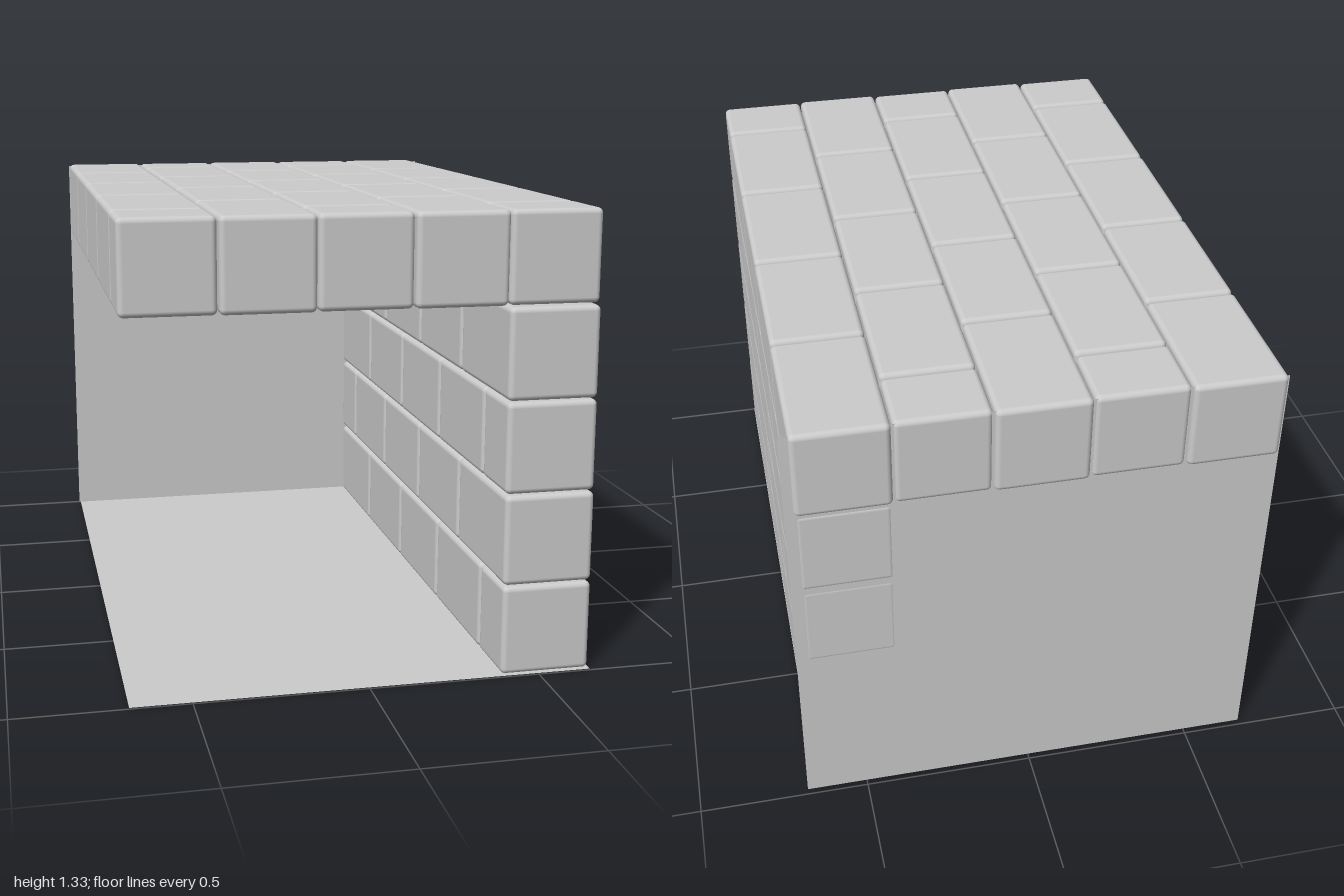
import * as THREE from 'three';
import { RoundedBoxGeometry } from 'three/addons/geometries/RoundedBoxGeometry.js';

const SIZE = 0.263;   // brick width and height
const PITCH = 0.267;  // spacing between neighbouring courses
const LONG = 0.433;   // full brick length
const HALF = 0.208;   // half brick length
const GAP = 0.007;    // joint between bricks

export function createModel() {
  const group = new THREE.Group();
  const brickMat = new THREE.MeshStandardMaterial({ color: 0xcccccc });
  const sheetMat = new THREE.MeshStandardMaterial({ color: 0xcccccc, side: THREE.DoubleSide });
  const longBrick = new RoundedBoxGeometry(SIZE, SIZE, LONG, 3, 0.016);
  const halfBrick = new RoundedBoxGeometry(SIZE, SIZE, HALF, 3, 0.016);

  // One course running from the back to the front, with a half brick at one end
  function addCourse(name, x, y, back, halfAtBack) {
    const course = new THREE.Group();
    course.name = name;
    let z = back;
    for (let i = 0; i < 5; i++) {
      const isHalf = i === (halfAtBack ? 0 : 4);
      const length = isHalf ? HALF : LONG;
      const brick = new THREE.Mesh(isHalf ? halfBrick : longBrick, brickMat);
      brick.name = isHalf ? 'halfBrick' : 'brick';
      brick.position.set(x, y, z + length / 2);
      course.add(brick);
      z += length + GAP;
    }
    group.add(course);
  }

  // Side wall: four staggered courses, bottom to top
  const wallBacks = [-0.981, -0.982, -0.986, -0.987];
  wallBacks.forEach((back, i) =>
    addCourse('wallCourse' + (i + 1), 0.523, 0.137 + i * PITCH, back, i % 2 === 1));

  // Roof: five staggered courses side by side
  for (let i = 0; i < 5; i++) {
    const odd = i % 2 === 1;
    addCourse('roofCourse' + (i + 1), -0.545 + i * PITCH, 1.205, odd ? -0.991 : -0.998, odd);
  }

  // Floor sheet
  const floor = new THREE.Mesh(new THREE.PlaneGeometry(1.33, 1.985), sheetMat);
  floor.name = 'floor';
  floor.rotation.x = -Math.PI / 2;
  floor.position.set(-0.01, 0.009, 0.0075);
  group.add(floor);

  // Back sheet
  const backSheet = new THREE.Mesh(new THREE.PlaneGeometry(1.36, 1.322), sheetMat);
  backSheet.name = 'backSheet';
  backSheet.position.set(0, 0.67, -0.985);
  group.add(backSheet);

  return group;
}
